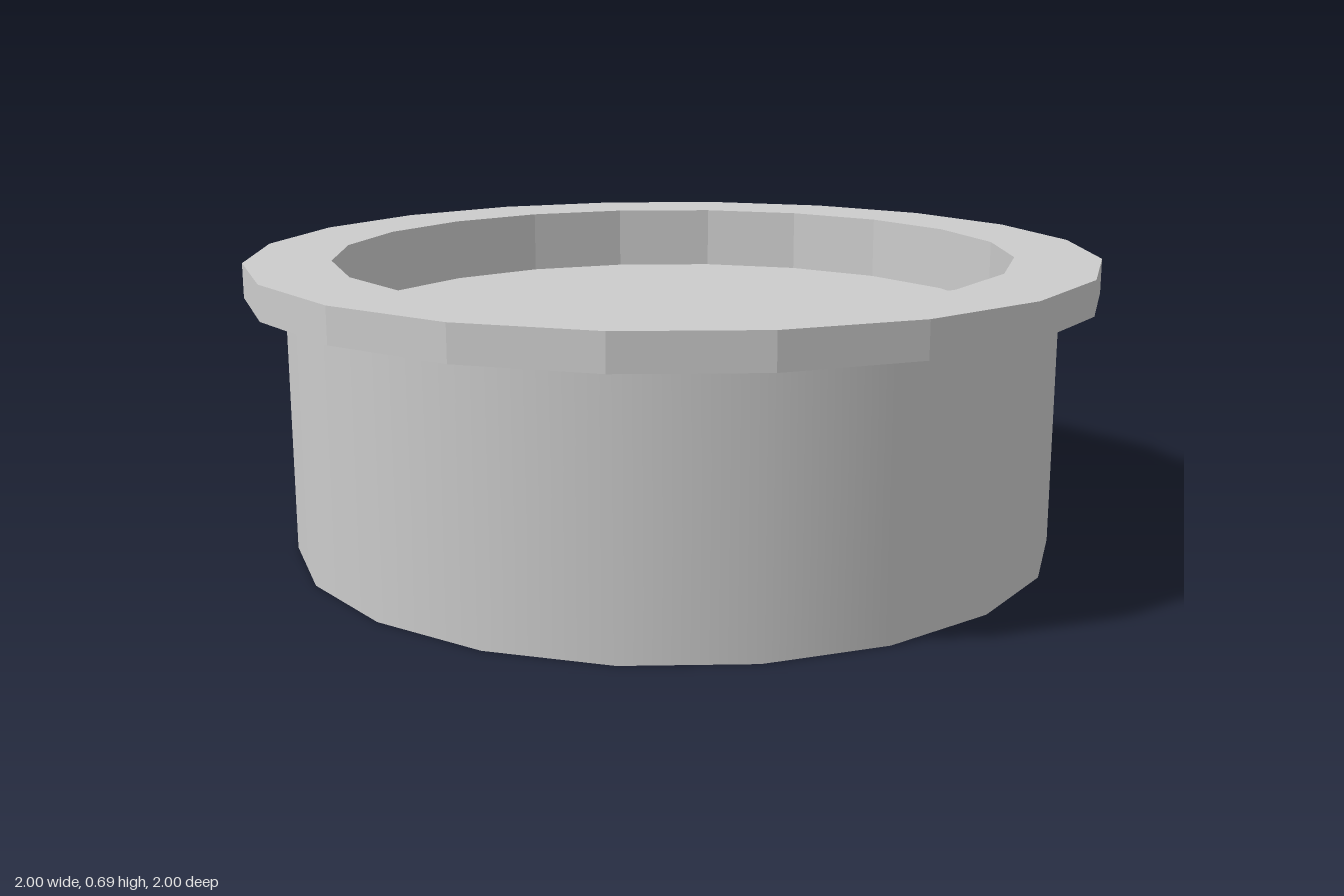
import * as THREE from 'three';

const SIDES = 20;
const BODY_R = 0.908, RIM_R = 1, WELL_R = 0.8;
const RIM_BOTTOM = 0.605, RIM_TOP = 0.685, FLOOR = 0.53;

export function createModel() {
  const group = new THREE.Group();
  const smooth = new THREE.MeshStandardMaterial({ color: 0xcccccc });
  const faceted = new THREE.MeshStandardMaterial({ color: 0xcccccc, flatShading: true });

  const add = (name, geometry, material, y = 0) => {
    const mesh = new THREE.Mesh(geometry, material);
    mesh.name = name;
    mesh.position.y = y;
    group.add(mesh);
  };

  // Smooth drum wall, open at both ends
  add('bodyWall', new THREE.CylinderGeometry(BODY_R, BODY_R, RIM_BOTTOM, SIDES, 1, true), smooth, RIM_BOTTOM / 2);

  // Flat underside and recessed floor
  add('base', new THREE.CircleGeometry(BODY_R, SIDES).rotateX(Math.PI / 2), faceted);
  add('wellFloor', new THREE.CircleGeometry(WELL_R, SIDES).rotateX(-Math.PI / 2), faceted, FLOOR);

  // Overhanging faceted rim that turns down into the well
  const profile = [
    [BODY_R, RIM_BOTTOM], [RIM_R, RIM_BOTTOM], [RIM_R, RIM_TOP], [WELL_R, RIM_TOP], [WELL_R, FLOOR],
  ].map(([r, y]) => new THREE.Vector2(r, y));
  add('rim', new THREE.LatheGeometry(profile, SIDES), faceted);

  return group;
}
